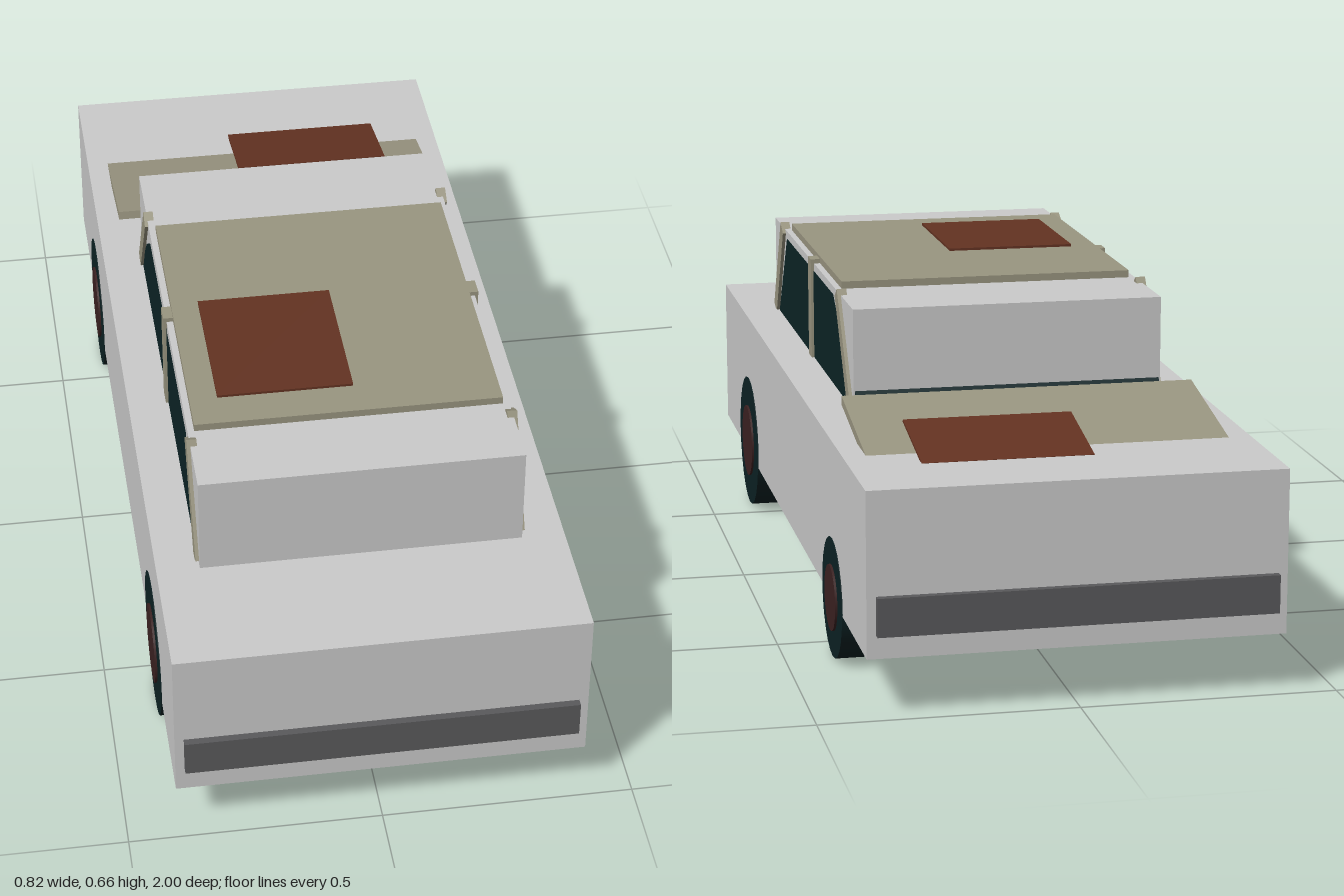
import * as THREE from 'three';

const mat = (name, color, side = THREE.FrontSide) => {
  const m = new THREE.MeshStandardMaterial({ color, side });
  m.name = name;
  return m;
};

export function createModel() {
  const car = new THREE.Group();
  car.name = 'oldCar';
  const paint = mat('pale grey paint', 0xcccccc);
  const trim = mat('faded beige', 0x9a9681);
  const rust = mat('rust brown', 0x643322);
  const glass = mat('dark glass', 0x0c2426, THREE.DoubleSide);
  const rubber = mat('dark rubber', 0x0c2224);
  const hubRust = mat('rusty hub', 0x3c2222);
  const steel = mat('bumper grey', 0x5a5a5c);

  const add = (name, geometry, material, x = 0, y = 0, z = 0) => {
    const m = new THREE.Mesh(geometry, material);
    m.name = name;
    m.position.set(x, y, z);
    car.add(m);
    return m;
  };
  // Box given by its extents on each axis
  const box = (name, material, [x0, x1], [y0, y1], [z0, z1]) =>
    add(name, new THREE.BoxGeometry(x1 - x0, y1 - y0, z1 - z0), material,
      (x0 + x1) / 2, (y0 + y1) / 2, (z0 + z1) / 2);
  // Slanted bar whose centre line runs between two [z, y] points
  const bar = (name, material, [z0, y0], [z1, y1], x, width, thick) => {
    const dz = z1 - z0, dy = y1 - y0;
    const m = add(name, new THREE.BoxGeometry(width, Math.hypot(dz, dy), thick), material,
      x, (y0 + y1) / 2, (z0 + z1) / 2);
    m.rotation.x = Math.atan2(dz, dy);
    return m;
  };

  // Body, cabin and bumpers
  box('body', paint, [-0.403, 0.403], [0.115, 0.437], [-0.985, 0.985]);
  box('cabin', paint, [-0.318, 0.318], [0.43, 0.643], [-0.355, 0.717]);
  box('frontBumper', steel, [-0.385, 0.385], [0.167, 0.242], [0.98, 1]);
  box('rearBumper', steel, [-0.385, 0.385], [0.16, 0.235], [-1, -0.98]);

  // Roof panel and its rust patch
  box('roof', trim, [-0.305, 0.305], [0.64, 0.658], [-0.14, 0.55]);
  box('roofRust', rust, [-0.25, 0.02], [0.657, 0.663], [0.15, 0.47]);

  // Lifted hood panel, sloping down into the body, with rust
  bar('hood', trim, [-0.448, 0.481], [-0.78, 0.418], 0, 0.716, 0.018);
  bar('hoodRust', rust, [-0.61, 0.473], [-0.808, 0.435], 0.097, 0.335, 0.005);

  // Slanted screens
  bar('windscreen', glass, [-0.393, 0.43], [-0.2, 0.625], 0, 0.63, 0.01);
  bar('rearScreen', glass, [0.67, 0.44], [0.56, 0.62], 0, 0.6, 0.01);

  // Side window outline in (-z, y)
  const outline = new THREE.Shape([
    [-0.66, 0.437], [0.31, 0.437], [0.26, 0.51], [0.21, 0.565], [0.12, 0.628], [-0.53, 0.628],
  ].map(([u, y]) => new THREE.Vector2(u, y)));
  const windowGeo = new THREE.ShapeGeometry(outline);

  for (const s of [-1, 1]) {
    const side = s > 0 ? 'left' : 'right';
    // Turning the shape sets its u axis along -z
    add(side + 'Windows', windowGeo, glass, s * 0.3195).rotation.y = Math.PI / 2;

    bar(side + 'ScreenPillar', trim, [-0.335, 0.437], [-0.185, 0.645], s * 0.315, 0.02, 0.034);
    bar(side + 'MiddlePillar', trim, [0.165, 0.437], [0.165, 0.652], s * 0.315, 0.02, 0.04);
    bar(side + 'RearPillar', trim, [0.69, 0.437], [0.573, 0.645], s * 0.315, 0.02, 0.04);

    for (const z of [0.595, -0.595]) {
      // One tyre is smaller than the rest
      const flat = s > 0 && z < 0;
      const r = flat ? 0.12 : 0.147;
      const tyre = add(side + (z > 0 ? 'FrontTyre' : 'RearTyre'),
        new THREE.CylinderGeometry(r, r, 0.107, 24), rubber, s * 0.351, r, z);
      const hub = add(side + (z > 0 ? 'FrontHub' : 'RearHub'),
        new THREE.CylinderGeometry(r * 0.55, r * 0.55, 0.02, 24), hubRust, s * 0.399, r, z);
      tyre.rotation.z = hub.rotation.z = Math.PI / 2;
    }
  }
  return car;
}
